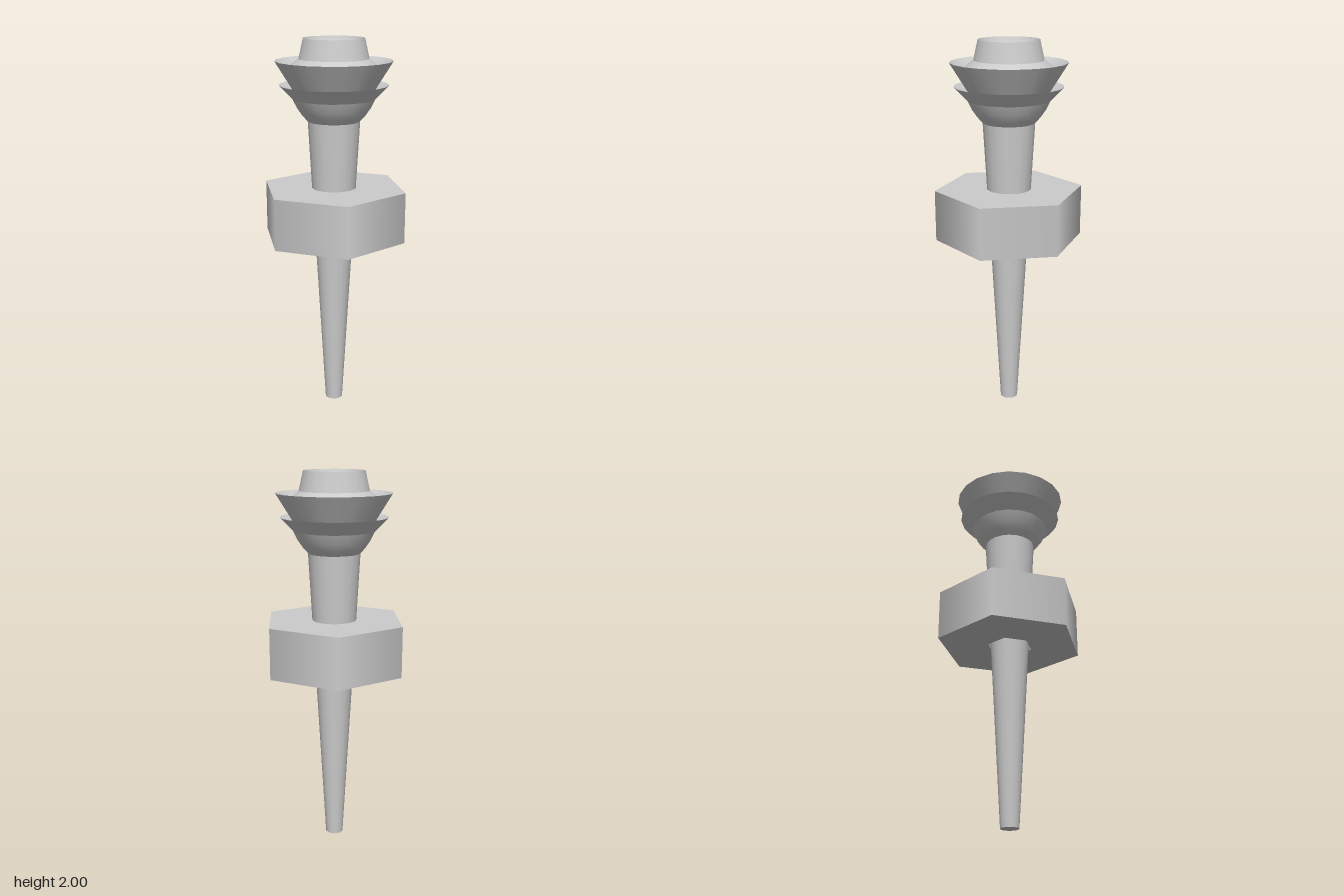
import * as THREE from 'three';
import { mergeGeometries } from 'three/addons/utils/BufferGeometryUtils.js';

const material = new THREE.MeshStandardMaterial({ color: 0xcccccc });

// Revolves each run of [radius, y] points on its own, so runs meet in sharp creases
function turned(name, sides, runs) {
  const parts = runs.map((run) =>
    new THREE.LatheGeometry(run.map(([r, y]) => new THREE.Vector2(r, y)), sides));
  const mesh = new THREE.Mesh(mergeGeometries(parts), material);
  mesh.name = name;
  return mesh;
}

// Splits a profile into straight, separately shaded bands
const bands = (points) => points.slice(1).map((p, i) => [points[i], p]);

export function createModel() {
  const group = new THREE.Group();
  group.name = 'torch';

  // Tapered shaft, closed at the foot
  group.add(turned('shaft', 20, bands([[0, 0], [0.047, 0], [0.136, 1.59], [0, 1.59]])));

  // Hexagonal collar with a six-sided hole for the shaft
  group.add(turned('collar', 6, bands([
    [0.12, 0.965], [0.39, 0.965], [0.39, 1.235], [0.12, 1.235], [0.12, 0.965],
  ])));

  // Rounded bowl with two flared rims
  group.add(turned('flaredHead', 20, [
    [[0, 1.585], [0.135, 1.585]],
    [[0.135, 1.585], [0.162, 1.615], [0.19, 1.655], [0.212, 1.7]],
    [[0.212, 1.7], [0.28, 1.77]],
    [[0.28, 1.77], [0.21, 1.745]],
    [[0.21, 1.745], [0.3, 1.89]],
    [[0.3, 1.89], [0.24, 1.85]],
    [[0.24, 1.85], [0.18, 1.9]],
  ]));

  // Top cup: sloping outer wall and hollow inside
  group.add(turned('cup', 20, [
    [[0.18, 1.9], [0.157, 2]],
    [[0.157, 2], [0.137, 1.95], [0, 1.88]],
  ]));

  // Thin spike in the middle of the cup
  group.add(turned('spike', 8, [[[0.012, 1.88], [0, 1.975]]]));

  return group;
}
